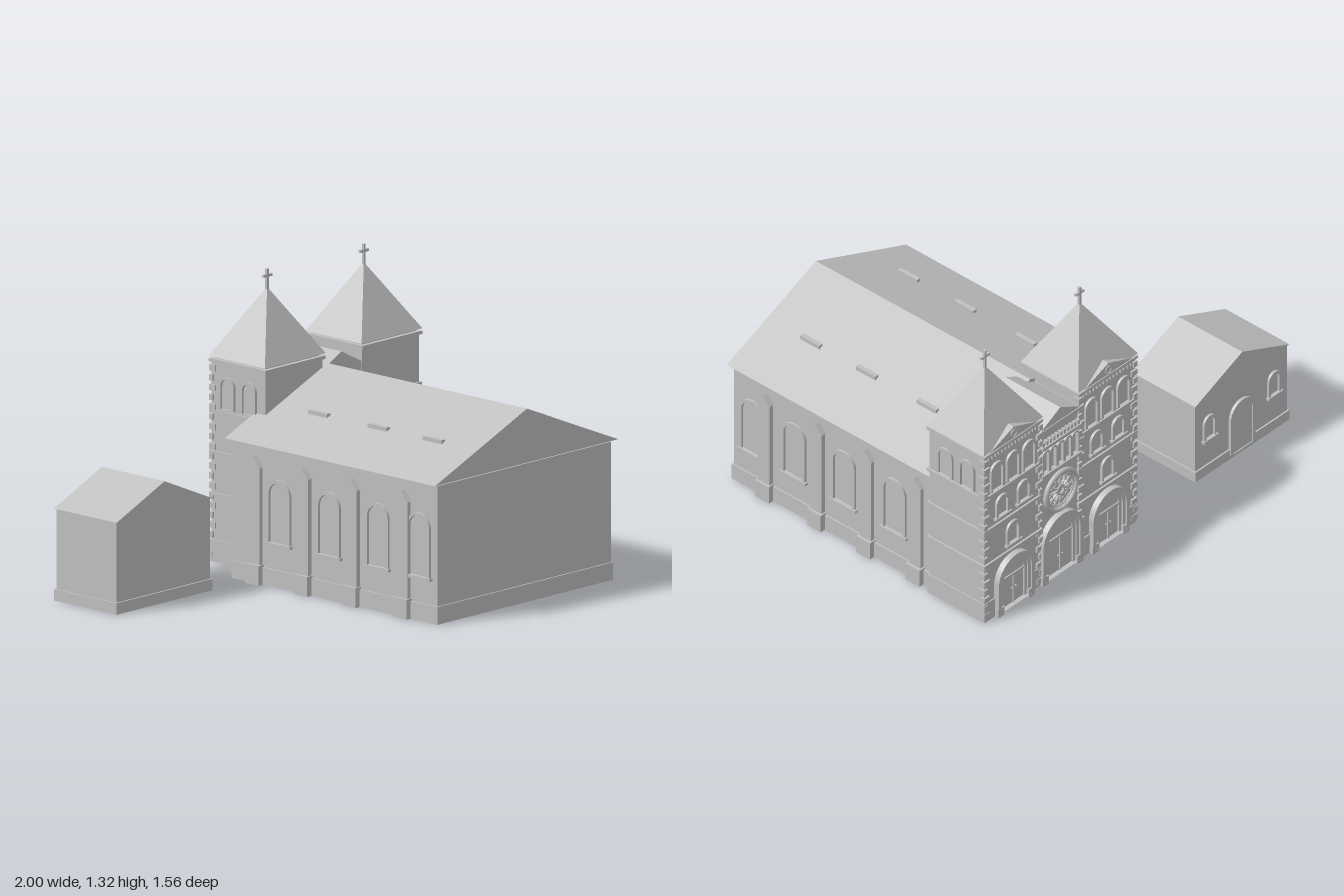
import * as THREE from 'three';

const stone = new THREE.MeshStandardMaterial({ color: 0xc0c0c0 });
stone.name = 'paleStone';

function add(parent, name, geometry, x = 0, y = 0, z = 0) {
  const m = new THREE.Mesh(geometry, stone);
  m.name = name;
  m.position.set(x, y, z);
  parent.add(m);
  return m;
}

// Box given by its lower and upper limits on each axis
function block(parent, name, x0, x1, y0, y1, z0, z1) {
  return add(parent, name, new THREE.BoxGeometry(x1 - x0, y1 - y0, z1 - z0),
    (x0 + x1) / 2, (y0 + y1) / 2, (z0 + z1) / 2);
}

function group(parent, name, x, y, z, turn = 0) {
  const g = new THREE.Group();
  g.name = name;
  g.position.set(x, y, z);
  g.rotation.y = turn;
  parent.add(g);
  return g;
}

const extrude = (shape, depth) =>
  new THREE.ExtrudeGeometry(shape, { depth, bevelEnabled: false, curveSegments: 12 });

// Triangular prism running from z to z + depth
function gable(parent, name, x0, x1, xTop, y0, y1, z, depth) {
  const s = new THREE.Shape();
  s.moveTo(x0, y0); s.lineTo(x1, y0); s.lineTo(xTop, y1); s.closePath();
  return add(parent, name, extrude(s, depth), 0, 0, z);
}

function archOutline(Kind, w, h, y0 = 0) {
  const p = new Kind(), r = w / 2;
  p.moveTo(-r, y0);
  p.lineTo(r, y0);
  p.lineTo(r, h - r);
  p.absarc(0, h - r, r, 0, Math.PI, false);
  p.closePath();
  return p;
}

// Round-headed frame, open in the middle
function arch(parent, name, x, y, w, h, t, depth) {
  const s = archOutline(THREE.Shape, w, h);
  s.holes.push(archOutline(THREE.Path, w - 2 * t, h - t, 0.001));
  return add(parent, name, extrude(s, depth), x, y, 0);
}

function windowFrame(parent, name, x, y, w, h, t = 0.012, depth = 0.012) {
  arch(parent, name, x, y, w, h, t, depth);
  block(parent, name + 'Sill', x - w / 2 - 0.008, x + w / 2 + 0.008, y - 0.006, y + 0.007, 0, depth + 0.006);
}

// Stepped doorway with two leaves and handles
function portal(parent, x, w, h) {
  const g = group(parent, 'portal', x, 0.015, 0);
  [0.029, 0.021, 0.014].forEach((d, i) =>
    arch(g, 'portalArch', 0, 0, w - i * 0.034, h - i * 0.017, 0.018, d));
  const dw = w - 0.1, dh = h - 0.05;
  add(g, 'doorPanel', extrude(archOutline(THREE.Shape, dw, dh), 0.006));
  block(g, 'doorLintel', -dw / 2, dw / 2, dh - dw / 2 - 0.006, dh - dw / 2 + 0.006, 0, 0.012);
  block(g, 'doorPost', -0.004, 0.004, 0, dh - dw / 2, 0, 0.012);
  for (const s of [-1, 1]) {
    add(g, 'doorHandle', new THREE.SphereGeometry(0.005, 8, 6), s * 0.014, 0.085, 0.01);
    block(g, 'portalBase', s * (w / 2 - 0.018) - 0.02, s * (w / 2 - 0.018) + 0.02, -0.015, 0.03, 0, 0.028);
  }
}

function buildNave(root) {
  const nave = group(root, 'nave', 0, 0, 0);
  block(nave, 'naveWalls', -0.155, 0.955, 0, 0.626, -0.47, 0.765);
  block(nave, 'navePlinth', -0.163, 0.963, 0, 0.08, -0.475, 0.772);
  block(nave, 'eaveCore', -0.14, 0.94, 0.62, 0.64, -0.46, 0.75);
  gable(nave, 'naveRoof', -0.19, 0.985, 0.4, 0.635, 0.88, -0.49, 1.272);
  for (const z of [0.52, 0.187, -0.173])
    for (const x of [0.08, 0.72])
      block(nave, 'roofVent', x - 0.011, x + 0.011, 0.735, 0.761, z - 0.057, z + 0.057);
  // Both long walls
  for (const s of [1, -1]) {
    const wall = group(nave, 'sideWall', 0.4 + s * 0.555, 0, 0, s * Math.PI / 2);
    for (const z of [0.655, 0.405, 0.11, -0.19])
      windowFrame(wall, 'naveWindow', -s * z, 0.195, 0.14, 0.295, 0.014, 0.012);
    for (const z of [0.568, 0.26, -0.033, -0.327]) {
      const b = group(wall, 'buttress', -s * z, 0, 0);
      block(b, 'buttressBase', -0.041, 0.041, 0, 0.09, 0, 0.035);
      block(b, 'buttressShaft', -0.034, 0.034, 0.09, 0.53, 0, 0.022);
      gable(b, 'buttressCap', -0.04, 0.04, 0, 0.53, 0.575, 0, 0.028);
    }
  }
}

function buildTower(root, s) {
  const t = group(root, 'tower', 0.495 + s * 0.31, 0, -0.5875);
  const slab = (name, grow, y0, y1) =>
    block(t, name, -0.1825 - grow, 0.1825 + grow, y0, y1, -0.1625 - grow, 0.1625 + grow);
  slab('towerWalls', 0, 0, 0.92);
  slab('towerPlinth', 0.006, 0, 0.1);
  for (const y of [0.3, 0.49, 0.675]) slab('stringCourse', 0.009, y, y + 0.014);
  slab('cornice', 0.01, 0.905, 0.92);
  slab('roofSeat', -0.01, 0.915, 0.935);

  // Four-sided spire with cross
  const cone = new THREE.ConeGeometry(Math.SQRT2, 1, 4, 1).toNonIndexed();
  cone.rotateY(Math.PI / 4).scale(0.195, 0.307, 0.171);
  cone.computeVertexNormals();
  add(t, 'spire', cone, 0, 0.93 + 0.1535, 0);
  block(t, 'crossPost', -0.006, 0.006, 1.22, 1.32, -0.006, 0.006);
  block(t, 'crossArm', -0.027, 0.027, 1.283, 1.295, -0.006, 0.006);

  // Belfry openings on the outer and inner walls
  for (const side of [1, -1]) {
    const wall = group(t, 'belfryWall', side * 0.1825, 0, 0, side * Math.PI / 2);
    for (const x of [-0.065, 0.065]) arch(wall, 'belfryArch', x, 0.7, 0.092, 0.15, 0.012, 0.012);
  }

  // Corner stones, alternately long and short
  for (const side of [-1, 1])
    for (let i = 0; i < 20; i++) {
      const w = i % 2 ? 0.022 : 0.036, y = 0.018 + i * 0.0445;
      const x = side * (0.1905 - w / 2);
      block(t, 'cornerStone', x - w / 2, x + w / 2, y, y + 0.028, -0.172, -0.172 + (i % 2 ? 0.036 : 0.022));
    }

  // Entrance face
  const f = group(t, 'towerFace', 0, 0, -0.1625, Math.PI);
  portal(f, 0, 0.235, 0.275);
  windowFrame(f, 'lowerWindow', 0, 0.345, 0.085, 0.12);
  for (const x of [-0.07, 0.07]) windowFrame(f, 'middleWindow', x, 0.535, 0.085, 0.115);
  for (const x of [-0.105, 0, 0.105]) arch(f, 'belfryArch', x, 0.7, 0.088, 0.15, 0.012, 0.012);
  for (let i = -7; i <= 7; i++)
    block(f, 'dentil', i * 0.022 - 0.006, i * 0.022 + 0.006, 0.882, 0.905, 0, 0.009);
  gable(f, 'pediment', -0.16, 0.16, 0, 0.925, 0.987, -0.06, 0.07);
  add(f, 'pedimentRing', new THREE.TorusGeometry(0.019, 0.004, 6, 20), 0, 0.95, 0.01);
}

function buildCentre(root) {
  const c = group(root, 'centralBay', 0.495, 0, -0.745, Math.PI);
  block(c, 'bayWalls', -0.13, 0.13, 0, 0.85, -0.315, 0);
  gable(c, 'bayRoof', -0.13, 0.13, 0, 0.847, 0.915, -0.315, 0.325);
  portal(c, 0, 0.26, 0.32);

  // Rose window
  const rose = group(c, 'roseWindow', 0, 0.46, 0);
  add(rose, 'roseRim', new THREE.TorusGeometry(0.1, 0.012, 8, 40), 0, 0, 0.015);
  add(rose, 'roseInnerRim', new THREE.TorusGeometry(0.083, 0.005, 6, 36), 0, 0, 0.012);
  add(rose, 'roseHub', new THREE.TorusGeometry(0.023, 0.005, 6, 20), 0, 0, 0.012);
  for (let i = 0; i < 12; i++) {
    const a = i * Math.PI / 6;
    const spoke = add(rose, 'roseSpoke', new THREE.BoxGeometry(0.045, 0.005, 0.012),
      Math.cos(a) * 0.046, Math.sin(a) * 0.046, 0.008);
    spoke.rotation.z = a;
    const b = a + Math.PI / 12;
    add(rose, 'rosePetal', new THREE.TorusGeometry(0.014, 0.003, 5, 12),
      Math.cos(b) * 0.066, Math.sin(b) * 0.066, 0.01);
  }

  // Arcaded gallery and cornice
  block(c, 'galleryLedge', -0.127, 0.127, 0.59, 0.607, 0, 0.024);
  for (let i = -2; i <= 2; i++) arch(c, 'galleryArch', i * 0.048, 0.607, 0.048, 0.125, 0.008, 0.016);
  block(c, 'galleryCornice', -0.127, 0.127, 0.745, 0.762, 0, 0.024);
  for (let i = -5; i <= 5; i++)
    block(c, 'galleryDentil', i * 0.023 - 0.006, i * 0.023 + 0.006, 0.762, 0.785, 0, 0.018);
  block(c, 'upperCornice', -0.127, 0.127, 0.832, 0.847, 0, 0.014);
}

function buildChapel(root) {
  const c = group(root, 'chapel', -0.692, 0, -0.57);
  block(c, 'chapelWalls', -0.3, 0.3, 0, 0.42, -0.182, 0.182);
  block(c, 'chapelPlinth', -0.308, 0.308, 0, 0.052, -0.19, 0.19);
  gable(c, 'chapelRoof', -0.308, 0.308, 0, 0.417, 0.55, -0.19, 0.38);
  const f = group(c, 'chapelFace', 0, 0, -0.182, Math.PI);
  arch(f, 'chapelDoorArch', 0, 0.02, 0.16, 0.27, 0.016, 0.014);
  add(f, 'chapelDoor', extrude(archOutline(THREE.Shape, 0.13, 0.255), 0.009), 0, 0.02, 0);
  for (const x of [-0.212, 0.212]) windowFrame(f, 'chapelWindow', x, 0.19, 0.08, 0.13);
}

export function createModel() {
  const root = new THREE.Group();
  root.name = 'church';
  buildNave(root);
  for (const s of [-1, 1]) buildTower(root, s);
  buildCentre(root);
  buildChapel(root);
  return root;
}
